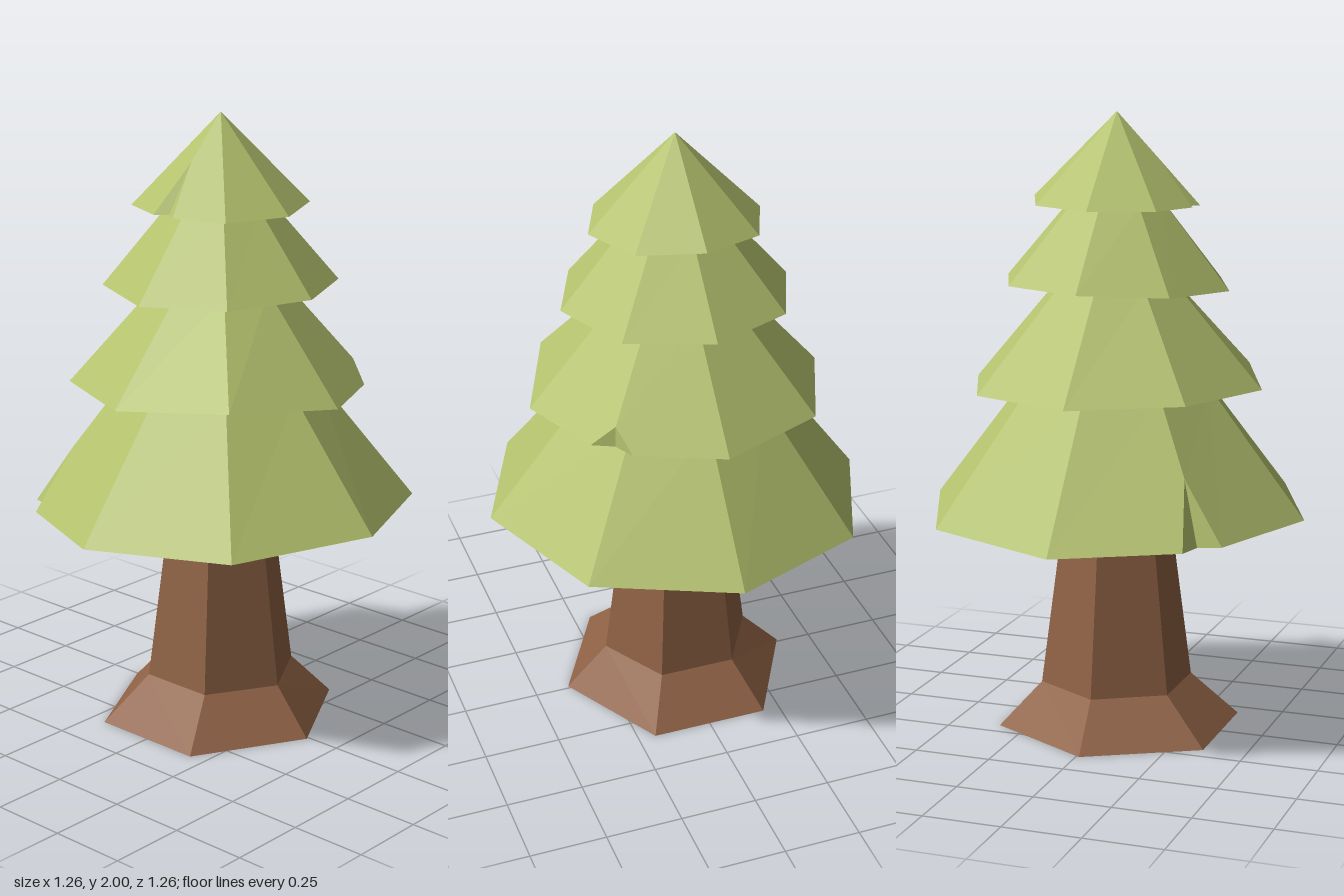
import * as THREE from 'three';

const leafMaterial = new THREE.MeshStandardMaterial({ color: 0xb4c26e, flatShading: true });
const barkMaterial = new THREE.MeshStandardMaterial({ color: 0x8f6245, flatShading: true });
const SIDES = 8;

// Point on ring of radius r at corner i (corner 0 on +x, corner 2 on +z)
function ringPoint(r, i, y) {
  const a = (i / SIDES) * Math.PI * 2;
  return new THREE.Vector3(Math.cos(a) * r, y, Math.sin(a) * r);
}

// One layer of branches: sloped skirt, flat underside, optional folded notch on a corner
function branchLayer({ name, r, heights, topR, topY, innerR, innerY, notch, hollow }) {
  const positions = [];
  const face = (...p) => {
    for (let k = 1; k < p.length - 1; k++) {
      for (const v of [p[0], p[k], p[k + 1]]) positions.push(v.x, v.y, v.z);
    }
  };
  const corner = (i) => ringPoint(r, i, heights[i % SIDES]);
  const top = (i) => ringPoint(topR, i, topY);
  const inner = (i) => ringPoint(innerR, i, innerY);
  const isNotch = (i) => notch && notch.corner === i % SIDES;
  const rim = (i, toward) => (isNotch(i) ? corner(toward).lerp(corner(i), notch.t) : corner(i));
  const peak = (i) => corner(i).lerp(top(i), (r - notch.peakR) / (r - topR));

  for (let i = 0; i < SIDES; i++) {
    const j = i + 1;
    const start = rim(i, j), end = rim(j, i);

    // Sloped side
    const side = [top(i)];
    if (topR > 0) side.push(top(j));
    if (isNotch(j)) side.push(peak(j));
    side.push(end, start);
    if (isNotch(i)) side.push(peak(i));
    face(...side);

    // Underside
    face(start, end, inner(j), inner(i));

    // Folded notch
    if (isNotch(i)) {
      const before = rim(i, i + SIDES - 1);
      const fold = ringPoint(notch.foldR, i, heights[i]);
      face(peak(i), start, fold);
      face(peak(i), fold, before);
      face(before, fold, inner(i));
      face(fold, start, inner(i));
    }

    // Hollow inside
    if (hollow) {
      face(inner(i), inner(j), ringPoint(hollow.r, j, hollow.y), ringPoint(hollow.r, i, hollow.y));
    }
  }
  const geometry = new THREE.BufferGeometry();
  geometry.setAttribute('position', new THREE.Float32BufferAttribute(positions, 3));
  geometry.computeVertexNormals();
  const mesh = new THREE.Mesh(geometry, leafMaterial);
  mesh.name = name;
  return mesh;
}

// Six-sided trunk with a flared foot
function trunk() {
  const profile = [[0, 0], [0.385, 0], [0.25, 0.145], [0.178, 0.69], [0.172, 1.1], [0, 1.1]];
  const lathe = new THREE.LatheGeometry(profile.map(([x, y]) => new THREE.Vector2(x, y)), 6);
  const p = lathe.attributes.position;
  for (let i = 0; i < p.count; i++) {
    // The foot is a little wider towards -x
    if (p.getY(i) < 0.01) p.setX(i, p.getX(i) * 1.05 - 0.01);
  }
  const geometry = lathe.toNonIndexed();
  geometry.computeVertexNormals();
  const mesh = new THREE.Mesh(geometry, barkMaterial);
  mesh.name = 'trunk';
  return mesh;
}

export function createModel() {
  const tree = new THREE.Group();
  tree.name = 'tree';
  tree.add(trunk());

  const layers = [
    {
      name: 'bottomBranches', r: 0.628, topR: 0.31, topY: 1.14, innerR: 0.5, innerY: 0.735,
      heights: [0.73, 0.74, 0.755, 0.74, 0.73, 0.72, 0.705, 0.715],
      notch: { corner: 5, t: 0.85, foldR: 0.566, peakR: 0.48 }, hollow: { r: 0.2, y: 1.11 },
    },
    {
      name: 'lowerMiddleBranches', r: 0.484, topR: 0.2, topY: 1.46, innerR: 0.305, innerY: 1.14,
      heights: [1.13, 1.135, 1.135, 1.165, 1.14, 1.14, 1.13, 1.13],
      notch: { corner: 1, t: 0.79, foldR: 0.43, peakR: 0.425 },
    },
    {
      name: 'upperMiddleBranches', r: 0.374, topR: 0.16, topY: 1.715, innerR: 0.195, innerY: 1.46,
      heights: [1.47, 1.465, 1.462, 1.455, 1.448, 1.455, 1.465, 1.468],
    },
    {
      name: 'topBranches', r: 0.28, topR: 0, topY: 2, innerR: 0.155, innerY: 1.715,
      heights: [1.728, 1.715, 1.707, 1.705, 1.71, 1.71, 1.71, 1.715],
      notch: { corner: 4, t: 0.8, foldR: 0.235, peakR: 0.135 },
    },
  ];
  for (const layer of layers) tree.add(branchLayer(layer));
  return tree;
}
